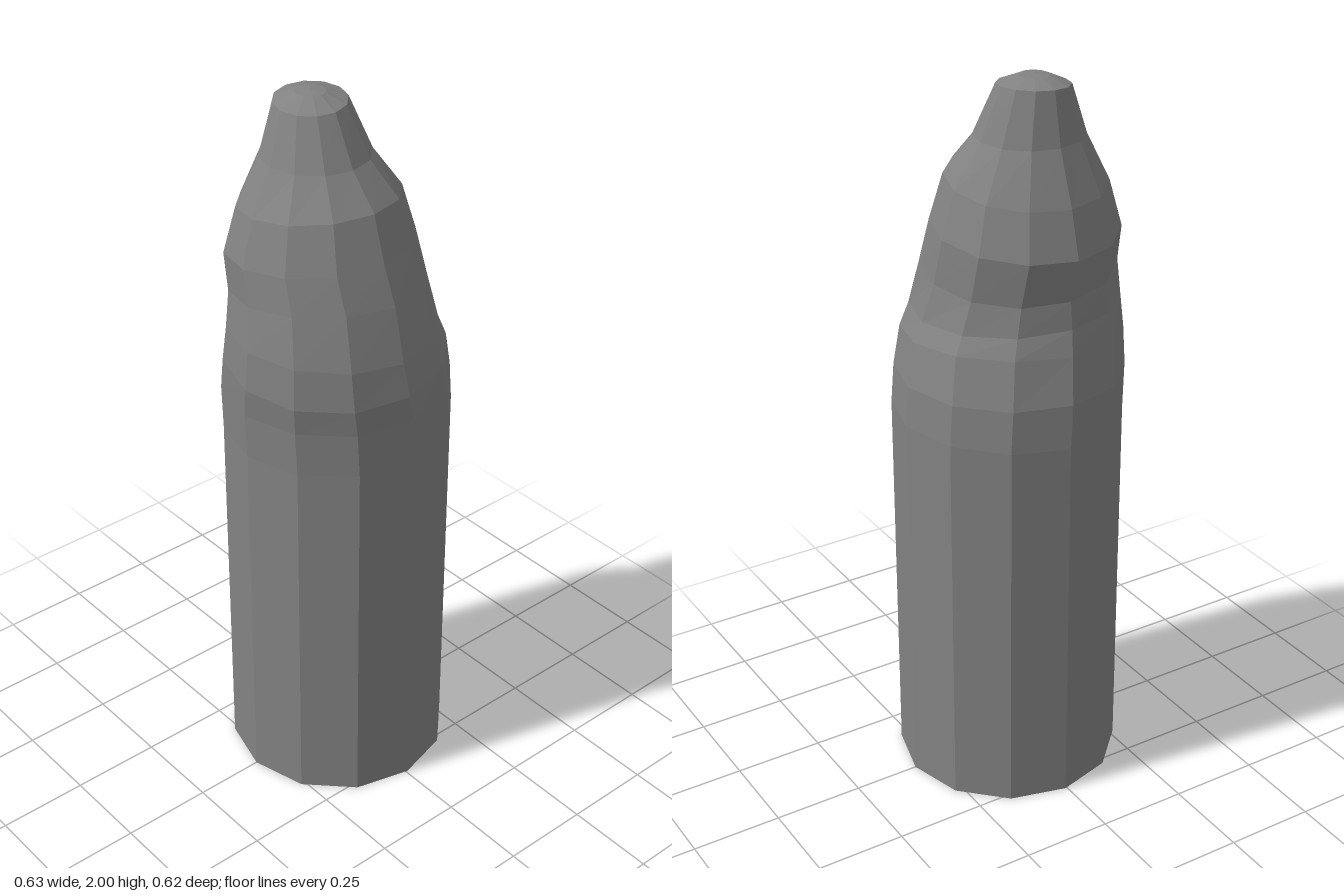
import * as THREE from 'three';

const SIDES = 12;

// Rings from base to tip: centre x, centre z, radius x, radius z, height, tilt along x, tilt along z, dent
const BODY = [
  [0.005, 0, 0.31, 0.31, 0, 0, 0, 0],
  [0.005, 0, 0.31, 0.31, 1.08, 0.015, 0, 0],
  [-0.003, 0.002, 0.308, 0.307, 1.2, 0.005, 0, 0],
  [-0.02, 0.017, 0.298, 0.292, 1.3, 0.02, -0.02, 0],
  [-0.03, 0.02, 0.28, 0.275, 1.38, -0.01, -0.005, 0],
  [-0.03, 0.003, 0.26, 0.257, 1.49, -0.015, 0.03, 0.035],
  [-0.037, -0.022, 0.248, 0.247, 1.6, 0, 0.025, 0],
  [-0.037, -0.025, 0.213, 0.21, 1.725, 0, 0.025, 0],
  [-0.04, -0.034, 0.145, 0.143, 1.84, 0, 0, 0],
  [-0.04, -0.053, 0.095, 0.096, 1.975, 0.005, -0.005, 0],
];
const TIP = [BODY[BODY.length - 1], [-0.04, -0.053, 0.04, 0.04, 1.996, 0, 0, 0]];

// Skin the rings and close the chosen ends with a fan around a centre point
function loft(rings, bottomY, topY) {
  const pos = [], idx = [];
  for (const [cx, cz, rx, rz, y, tx, tz, dent] of rings) {
    for (let i = 0; i < SIDES; i++) {
      const a = (i / SIDES) * Math.PI * 2, c = Math.cos(a), s = Math.sin(a);
      // The dent pinches the back left side
      const k = 1 - dent * Math.max(0, (c - s) * Math.SQRT1_2);
      pos.push(cx + rx * k * c, y + tx * c + tz * s, cz + rz * k * s);
    }
  }
  for (let r = 0; r < rings.length - 1; r++) {
    for (let i = 0; i < SIDES; i++) {
      const a = r * SIDES + i, b = r * SIDES + (i + 1) % SIDES;
      idx.push(a, a + SIDES, b, b, a + SIDES, b + SIDES);
    }
  }
  const fan = (r, y, up) => {
    const centre = pos.length / 3;
    pos.push(rings[r][0], y, rings[r][1]);
    for (let i = 0; i < SIDES; i++) {
      const a = r * SIDES + i, b = r * SIDES + (i + 1) % SIDES;
      idx.push(centre, up ? b : a, up ? a : b);
    }
  };
  if (bottomY !== null) fan(0, bottomY, false);
  if (topY !== null) fan(rings.length - 1, topY, true);

  const geometry = new THREE.BufferGeometry();
  geometry.setAttribute('position', new THREE.Float32BufferAttribute(pos, 3));
  geometry.setIndex(idx);
  geometry.computeVertexNormals();
  return geometry;
}

export function createModel() {
  const group = new THREE.Group();
  const material = new THREE.MeshStandardMaterial({ color: 0x828282, flatShading: true });

  // Straight shaft that leans and narrows into a lumpy nose
  const body = new THREE.Mesh(loft(BODY, 0, null), material);
  body.name = 'body';

  // Shallow domed cap
  const tip = new THREE.Mesh(loft(TIP, null, 2), material);
  tip.name = 'tip';

  group.add(body, tip);
  return group;
}
